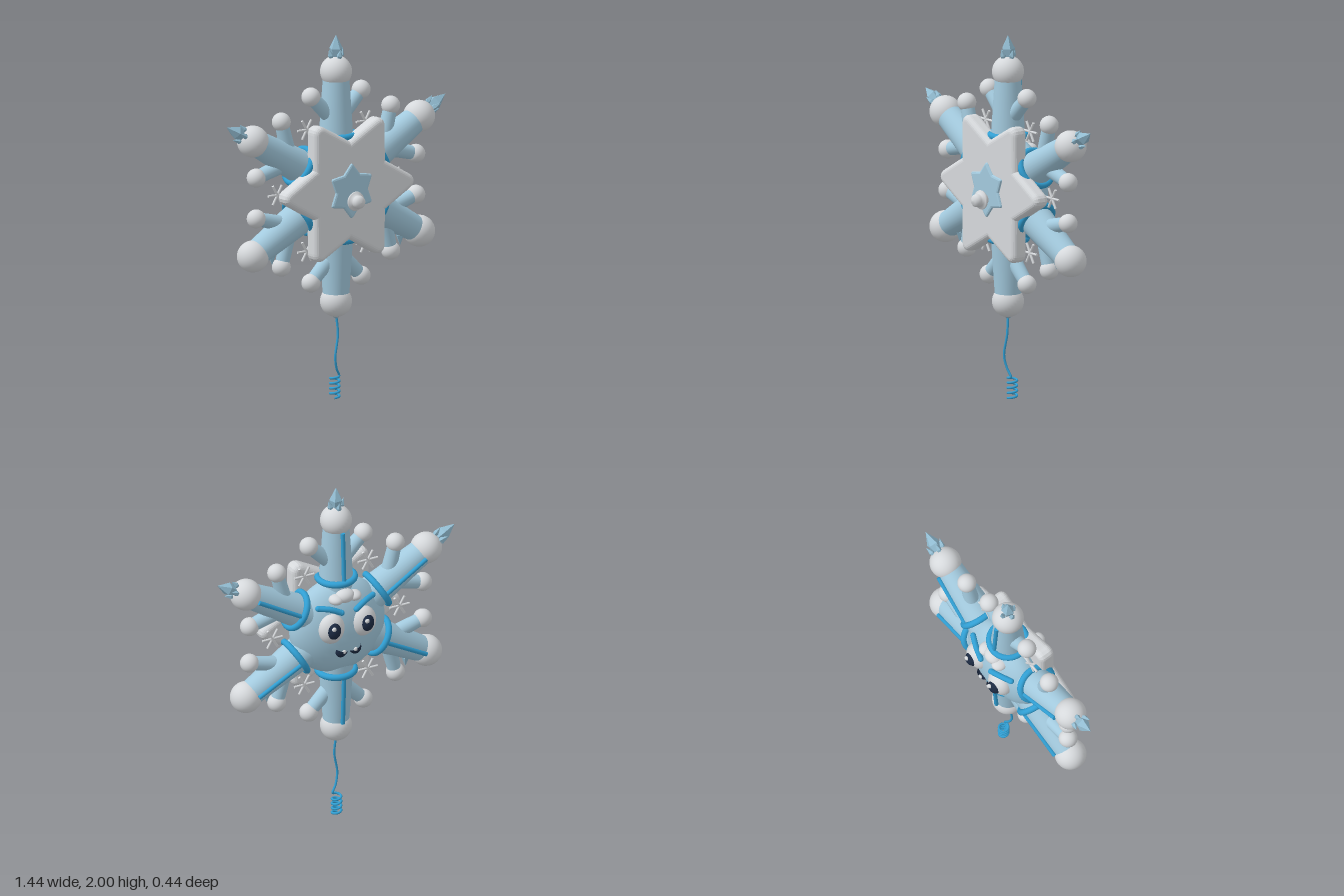
import * as THREE from 'three';

const mat = (name, hex) => {
  const m = new THREE.MeshStandardMaterial({ color: hex });
  m.name = name;
  return m;
};

export function createModel() {
  const ice = mat('ice blue', 0xa3cade);
  const snow = mat('snow white', 0xd6d9dc);
  const trim = mat('bright blue', 0x319fd3);
  const dark = mat('dark navy', 0x1c2a42);
  const crystalMat = mat('crystal blue', 0x93bdd2);
  crystalMat.flatShading = true;
  dark.side = THREE.DoubleSide;

  const root = new THREE.Group();
  root.name = 'snowflake';
  const core = new THREE.Group();
  core.name = 'flake';
  core.position.set(0, 1.17, -0.02);
  root.add(core);

  const add = (parent, name, geo, material, pos = [0, 0, 0], rot = [0, 0, 0], scale = [1, 1, 1]) => {
    const m = new THREE.Mesh(geo, material);
    m.name = name;
    m.position.set(...pos);
    m.rotation.set(...rot);
    m.scale.set(...scale);
    parent.add(m);
    return m;
  };
  const ball = new THREE.SphereGeometry(1, 32, 20);
  const sphere = (parent, name, material, pos, s) => add(parent, name, ball, material, pos, [0, 0, 0], s);
  // Cylinder between two points
  const rod = (parent, name, material, a, b, ra, rb, sides = 24) => {
    const p = new THREE.Vector3(...a), q = new THREE.Vector3(...b);
    const m = add(parent, name, new THREE.CylinderGeometry(rb, ra, p.distanceTo(q), sides), material);
    m.position.copy(p).add(q).multiplyScalar(0.5);
    m.quaternion.setFromUnitVectors(new THREE.Vector3(0, 1, 0), q.sub(p).normalize());
    return m;
  };
  // Faceted shard growing along +y from its origin
  const shard = (len, r) => new THREE.LatheGeometry(
    [[0, 0], [r * 0.55, 0], [r, len * 0.45], [0, len]].map(p => new THREE.Vector2(...p)), 5);

  // Body and its rim
  sphere(core, 'body', ice, [0, 0, -0.01], [0.28, 0.28, 0.145]);
  add(core, 'bodyRim', new THREE.TorusGeometry(0.265, 0.013, 10, 60), trim, [0, 0, -0.01]);

  // Six arms with branches, rings and tips
  for (let i = 0; i < 6; i++) {
    const arm = new THREE.Group();
    arm.name = 'arm' + (i + 1);
    arm.rotation.z = -i * Math.PI / 3;
    core.add(arm);
    rod(arm, 'armShaft', ice, [0, 0.16, 0], [0, 0.61, 0], 0.1, 0.07, 32);
    sphere(arm, 'armBall', snow, [0, 0.63, 0], [0.086, 0.086, 0.086]);
    add(arm, 'armRing', new THREE.TorusGeometry(0.1, 0.018, 12, 40), trim, [0, 0.285, 0], [Math.PI / 2, 0, 0]);
    rod(arm, 'armStripe', trim, [0, 0.27, -0.094], [0, 0.585, -0.078], 0.012, 0.012, 10);
    for (const s of [-1, 1]) {
      rod(arm, 'branch', ice, [0, 0.35, 0], [s * 0.155, 0.5, 0], 0.045, 0.037);
      sphere(arm, 'branchBall', snow, [s * 0.165, 0.51, 0], [0.051, 0.051, 0.051]);
    }
    // Ice crystals on the three upper arms
    if (i === 0 || i === 1 || i === 5) {
      add(arm, 'crystal', shard(0.135, 0.037), crystalMat, [0, 0.695, 0]);
      for (let k = 0; k < 4; k++) {
        const a = k * Math.PI / 2;
        add(arm, 'crystalShard', shard(0.07, 0.016), crystalMat,
          [Math.cos(a) * 0.025, 0.69, Math.sin(a) * 0.025],
          [Math.sin(a) * 0.3, 0, -Math.cos(a) * 0.3]);
      }
    }
  }
  // Small icicles under the lower arms
  for (const s of [-1, 1])
    add(core, 'icicle', shard(0.1, 0.022), crystalMat, [s * 0.42, -0.28, 0], [0, 0, Math.PI]);
  add(core, 'lowerShard', shard(0.04, 0.03), crystalMat, [0, -0.69, 0], [0, 0, Math.PI]);

  // Little six-spoked flakes between the arms
  for (let i = 0; i < 6; i++) {
    const a = i * Math.PI / 3;
    const flake = new THREE.Group();
    flake.name = 'smallFlake' + (i + 1);
    flake.position.set(Math.cos(a) * 0.385, Math.sin(a) * 0.385, 0);
    core.add(flake);
    for (let k = 0; k < 3; k++) {
      const b = k * Math.PI / 3, x = Math.cos(b) * 0.06, y = Math.sin(b) * 0.06;
      rod(flake, 'spoke', snow, [-x, -y, 0], [x, y, 0], 0.007, 0.007, 8);
    }
  }

  // Six-pointed star with rounded tips
  const starShape = (outer, inner, turn, round) => {
    const s = new THREE.Shape();
    const pt = (r, a) => new THREE.Vector2(Math.cos(a) * r, Math.sin(a) * r);
    for (let i = 0; i < 6; i++) {
      const a = turn + i * Math.PI / 3;
      const valley = pt(inner, a - Math.PI / 6), tip = pt(outer, a), next = pt(inner, a + Math.PI / 6);
      const p = tip.clone().lerp(valley, round), q = tip.clone().lerp(next, round);
      if (i === 0) s.moveTo(valley.x, valley.y); else s.lineTo(valley.x, valley.y);
      s.lineTo(p.x, p.y);
      s.quadraticCurveTo(tip.x, tip.y, q.x, q.y);
    }
    s.closePath();
    return s;
  };
  add(core, 'star', new THREE.ExtrudeGeometry(starShape(0.405, 0.236, 0, 0.12), {
    depth: 0.035, bevelEnabled: true, bevelThickness: 0.03, bevelSize: 0.03, bevelSegments: 5, curveSegments: 6,
  }), snow, [0, 0, 0.077]);
  add(core, 'emblem', new THREE.ExtrudeGeometry(starShape(0.155, 0.105, Math.PI / 6, 0.2), {
    depth: 0.006, bevelEnabled: true, bevelThickness: 0.01, bevelSize: 0.012, bevelOffset: -0.012, bevelSegments: 2,
  }), ice, [0, 0, 0.138]);

  // Knob on the front
  const knob = [[0, 0], [0.03, 0], [0.026, 0.03], [0.05, 0.036], [0.053, 0.043], [0.05, 0.05], [0.034, 0.054],
    [0.037, 0.068], [0.033, 0.085], [0.02, 0.097], [0, 0.1]];
  add(core, 'knob', new THREE.LatheGeometry(knob.map(p => new THREE.Vector2(...p)), 32), snow,
    [0, -0.05, 0.14], [Math.PI / 2, 0, 0]);

  // Face on the back side
  const face = new THREE.Group();
  face.name = 'face';
  core.add(face);
  for (const s of [-1, 1]) {
    sphere(face, 'eyeball', snow, [s * 0.095, 0.05, -0.125], [0.075, 0.088, 0.06]);
    sphere(face, 'pupil', dark, [s * 0.1, 0.055, -0.158], [0.042, 0.052, 0.042]);
    sphere(face, 'eyeGlint', snow, [s * 0.1 + 0.012, 0.08, -0.193], [0.013, 0.013, 0.01]);
    const brow = new THREE.CatmullRomCurve3([
      new THREE.Vector3(s * 0.045, 0.145, -0.15),
      new THREE.Vector3(s * 0.105, 0.172, -0.134),
      new THREE.Vector3(s * 0.165, 0.18, -0.108)]);
    add(face, 'brow', new THREE.TubeGeometry(brow, 16, 0.016, 10), trim);
    for (const t of [0, 1]) sphere(face, 'browEnd', trim, brow.getPoint(t).toArray(), [0.016, 0.016, 0.016]);
    add(face, 'smile', new THREE.SphereGeometry(1, 20, 10, 0, Math.PI * 2, Math.PI / 2, Math.PI / 2), dark,
      [s * 0.04, -0.09, -0.14], [0, 0, s * 0.35], [0.036, 0.042, 0.026]);
    sphere(face, 'tooth', snow, [s * 0.035, -0.094, -0.16], [0.012, 0.012, 0.008]);
  }
  // Snow tuft on the forehead
  for (const [x, y, r] of [[0, 0.215, 0.055], [-0.055, 0.205, 0.04], [0.055, 0.205, 0.04]])
    sphere(face, 'snowTuft', snow, [x, y, -0.1], [r, r * 0.7, 0.045]);

  // Hanging string ending in a coil
  const pts = [[0, 0.47, -0.02], [0.005, 0.36, -0.01], [-0.015, 0.24, -0.005], [0, 0.17, -0.015], [0.022, 0.13, -0.022]];
  const turns = 4.25, steps = 52;
  for (let i = 1; i <= steps; i++) {
    const t = i / steps, a = 0.7 + t * turns * Math.PI * 2;
    pts.push([0.009 + 0.025 * Math.cos(a), 0.125 - 0.118 * t, -0.043 + 0.025 * Math.sin(a)]);
  }
  const string = new THREE.CatmullRomCurve3(pts.map(p => new THREE.Vector3(...p)));
  add(root, 'string', new THREE.TubeGeometry(string, 260, 0.0065, 8), trim);

  return root;
}
